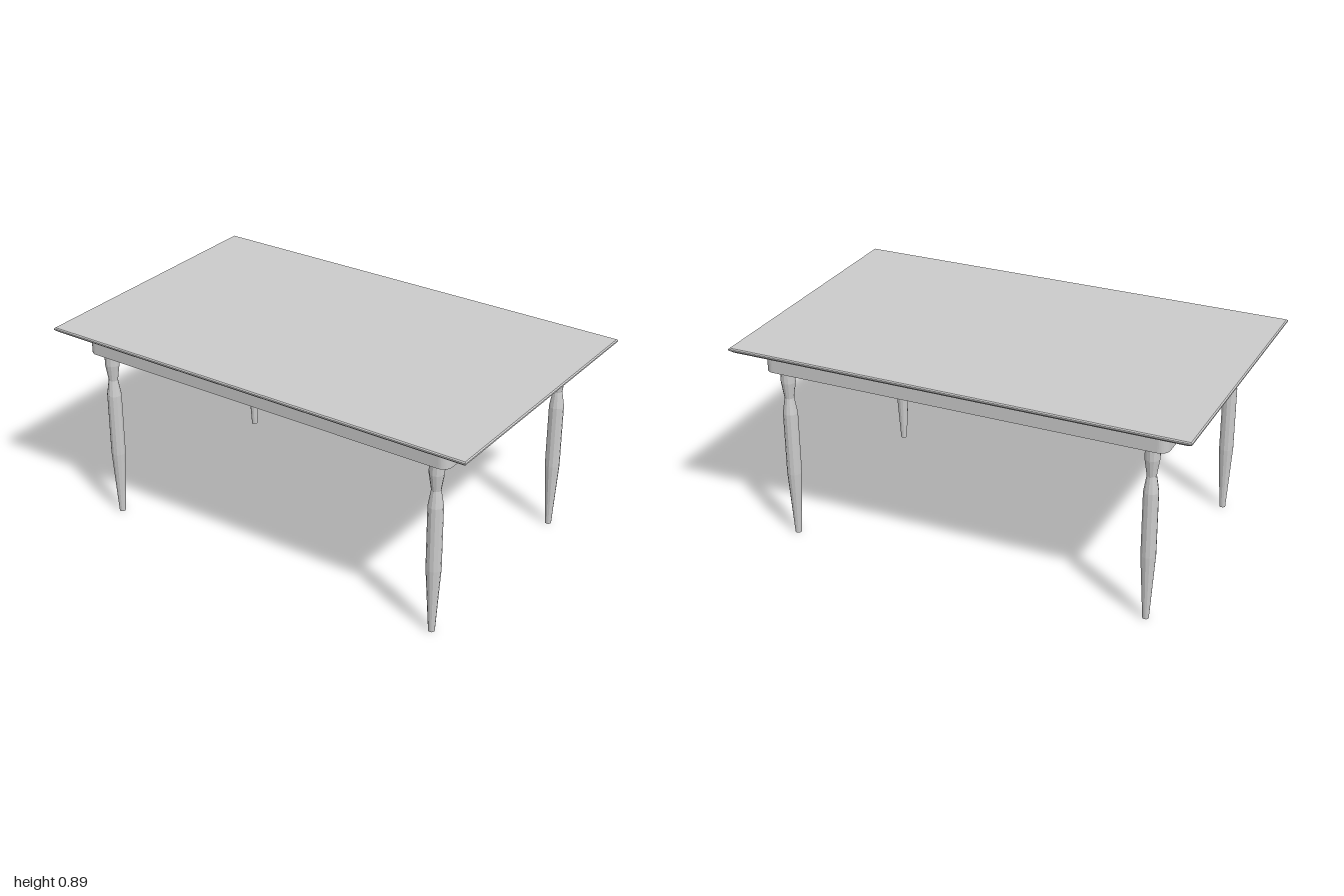
import * as THREE from 'three';

const material = new THREE.MeshStandardMaterial({ color: 0xcccccc, flatShading: true });

function addMesh(parent, name, geometry) {
  const mesh = new THREE.Mesh(geometry, material);
  mesh.name = name;
  parent.add(mesh);
  return mesh;
}

// Rectangle with rounded corners, given by its half sizes
function roundedRect(path, w, d, r) {
  path.moveTo(w, -d + r);
  path.lineTo(w, d - r);
  path.absarc(w - r, d - r, r, 0, Math.PI / 2);
  path.lineTo(-w + r, d);
  path.absarc(-w + r, d - r, r, Math.PI / 2, Math.PI);
  path.lineTo(-w, -d + r);
  path.absarc(-w + r, -d + r, r, Math.PI, Math.PI * 1.5);
  path.lineTo(w - r, -d);
  path.absarc(w - r, -d + r, r, Math.PI * 1.5, Math.PI * 2);
  return path;
}

// Slab whose edge slopes in underneath and is slightly eased on top
function tabletopGeometry() {
  const levels = [[0.869, 0.018], [0.883, 0], [0.889, 0], [0.893, 0.005]]; // height, inset
  const geometry = new THREE.BoxGeometry(2, 3, 1.24, 1, 3, 1);
  const p = geometry.attributes.position;
  for (let i = 0; i < p.count; i++) {
    const [y, inset] = levels[Math.round(p.getY(i) + 1.5)];
    p.setXYZ(i, Math.sign(p.getX(i)) * (1 - inset), y, Math.sign(p.getZ(i)) * (0.62 - inset));
  }
  geometry.computeVertexNormals();
  return geometry;
}

// Open frame below the top
function apronGeometry() {
  const shape = roundedRect(new THREE.Shape(), 0.881, 0.546, 0.04);
  shape.holes.push(roundedRect(new THREE.Path(), 0.846, 0.511, 0.01));
  const geometry = new THREE.ExtrudeGeometry(shape, { depth: 0.089, bevelEnabled: false, curveSegments: 5 });
  return geometry.rotateX(-Math.PI / 2).translate(0, 0.781, 0);
}

export function createModel() {
  const table = new THREE.Group();
  table.name = 'table';
  addMesh(table, 'tabletop', tabletopGeometry());
  addMesh(table, 'apron', apronGeometry());

  // Turned legs: tapered foot, straight shaft, waisted neck, block end
  const profile = [
    [0, 0], [0.0135, 0], [0.0315, 0.295], [0.0315, 0.58],
    [0.02, 0.651], [0.031, 0.724], [0.031, 0.87], [0, 0.87],
  ].map(([r, y]) => new THREE.Vector2(r, y));
  const legGeometry = new THREE.LatheGeometry(profile, 12);
  for (const [z, end] of [[0.489, 'front'], [-0.489, 'back']]) {
    for (const [x, side] of [[0.805, 'Left'], [-0.805, 'Right']]) {
      addMesh(table, `${end}${side}Leg`, legGeometry).position.set(x, 0, z);
    }
  }
  return table;
}
